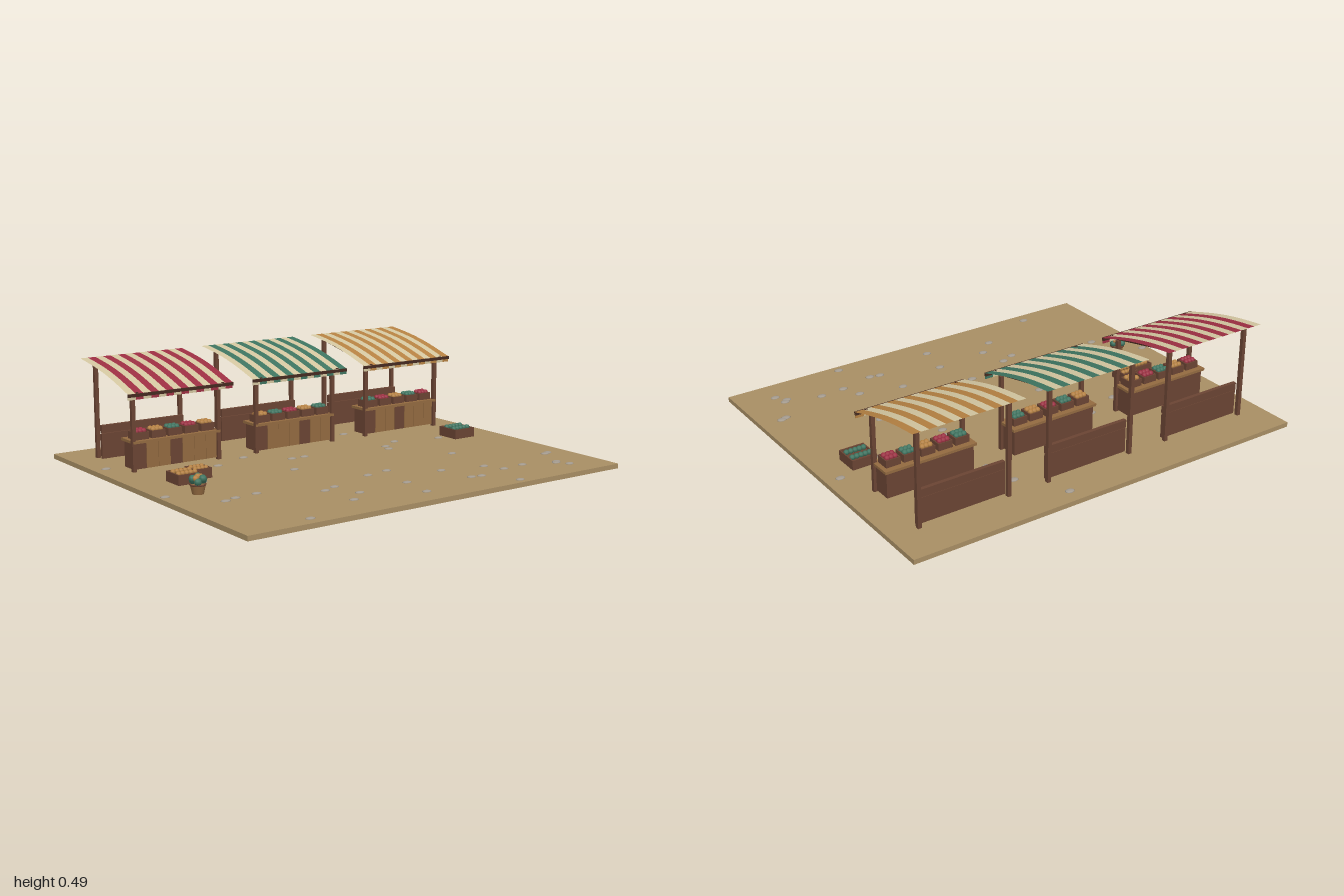
import * as THREE from 'three';

const paint = (name, color, side = THREE.FrontSide) => {
  const m = new THREE.MeshStandardMaterial({ color, side });
  m.name = name;
  return m;
};

export function createModel() {
  const earth = paint('packed earth', 0xa88e64);
  const stone = paint('pale stone', 0xa39a8e);
  const darkWood = paint('dark wood', 0x6a4433);
  const beamWood = paint('beam wood', 0x452a20);
  const midWood = paint('mid wood', 0x936a40);
  const cream = paint('cream', 0xd3c6a0, THREE.DoubleSide);
  const red = paint('red', 0x9c2f42, THREE.DoubleSide);
  const green = paint('green', 0x3e7460, THREE.DoubleSide);
  const ochre = paint('ochre', 0xb58142, THREE.DoubleSide);

  const market = new THREE.Group();
  market.name = 'market';
  const GROUND = 0.022;

  const add = (parent, name, geo, mat, x = 0, y = 0, z = 0) => {
    const m = new THREE.Mesh(geo, mat);
    m.name = name;
    m.position.set(x, y, z);
    parent.add(m);
    return m;
  };
  const box = (parent, name, mat, w, h, d, x, y, z) =>
    add(parent, name, new THREE.BoxGeometry(w, h, d), mat, x, y, z);
  const group = (parent, name, x, y, z) => {
    const g = new THREE.Group();
    g.name = name;
    g.position.set(x, y, z);
    parent.add(g);
    return g;
  };

  // Ground slab
  box(market, 'ground', earth, 2, GROUND, 1.685, 0, GROUND / 2, -0.0025);

  // Scattered cobbles, as x, z pairs
  const cobbleGeo = new THREE.SphereGeometry(1, 8, 6);
  const cobbles = [
    [0.19, -0.77], [0.33, -0.56], [0.36, -0.40], [-0.94, -0.43], [-0.32, -0.26], [-0.50, -0.19],
    [-0.15, -0.11], [-0.08, -0.11], [0.46, -0.12], [0.36, -0.06], [0.34, -0.01], [0.69, -0.06],
    [0.93, -0.13], [-0.26, 0.07], [-0.71, 0.03], [-0.97, 0.16], [0.52, 0.24], [-0.80, 0.36],
    [-0.74, 0.34], [-0.63, 0.33], [-0.06, 0.35], [0.06, 0.33], [-0.37, 0.46], [-0.30, 0.43],
    [0.26, 0.47], [0.47, 0.52], [0.87, 0.50], [0.895, 0.49], [0.0, 0.55], [-0.27, 0.57],
    [-0.36, 0.65], [0.51, 0.61], [0.63, 0.60], [0.29, 0.64], [0.34, 0.65], [0.785, 0.66],
    [0.80, 0.645], [0.82, 0.71], [-0.03, 0.72], [-0.67, 0.78], [0.43, 0.80],
  ];
  for (const [x, z] of cobbles)
    add(market, 'cobble', cobbleGeo, stone, x, GROUND, z).scale.set(0.023, 0.006, 0.017);

  // Crate with rim, filling and a grid of round produce
  const fruitGeo = new THREE.SphereGeometry(1, 8, 6);
  function crate(parent, name, x, y, z, w, h, d, cols, rows, r, mats) {
    const g = group(parent, name, x, y, z), t = 0.006;
    box(g, 'crateBody', darkWood, w - 2 * t, h * 0.8, d - 2 * t, 0, h * 0.4, 0);
    for (const s of [-1, 1]) {
      box(g, 'crateLongSide', darkWood, w, h, t, 0, h / 2, s * (d - t) / 2);
      box(g, 'crateShortSide', darkWood, t, h, d - 2 * t, s * (w - t) / 2, h / 2, 0);
    }
    for (let i = 0; i < cols; i++)
      for (let j = 0; j < rows; j++)
        add(g, 'produce', fruitGeo, mats[(i + j) % mats.length],
          ((i + 0.5) / cols - 0.5) * (w - 0.014), h * 0.8 + r * 0.6,
          ((j + 0.5) / rows - 0.5) * (d - 0.014)).scale.setScalar(r);
  }

  // Awning roof line: straight slope from front to back with a slight bulge
  const FRONT_Z = -0.255, BACK_Z = -0.71, FRONT_Y = 0.385, BACK_Y = 0.485;
  function clothStrip(w) {
    const geo = new THREE.PlaneGeometry(w, 1, 1, 10);
    const p = geo.attributes.position;
    for (let i = 0; i < p.count; i++) {
      const t = p.getY(i) + 0.5;
      p.setY(i, FRONT_Y + (BACK_Y - FRONT_Y) * t + 0.014 * Math.sin(Math.PI * t));
      p.setZ(i, FRONT_Z + (BACK_Z - FRONT_Z) * t);
    }
    geo.computeVertexNormals();
    return geo;
  }

  function stall(x, stripe, darkPlanks, fruitOrder) {
    const g = group(market, 'stall', x, 0, 0);

    // Posts and sloping rafters
    for (const s of [-1, 1]) {
      box(g, 'frontPost', darkWood, 0.018, 0.36, 0.018, s * 0.219, 0.2, -0.306);
      box(g, 'backPost', darkWood, 0.018, 0.448, 0.018, s * 0.219, 0.246, -0.656);
      const rafter = box(g, 'rafter', beamWood, 0.014, 0.012, 0.42, s * 0.219, 0.425, -0.46);
      rafter.rotation.x = Math.atan2(BACK_Y - FRONT_Y, FRONT_Z - BACK_Z);
    }
    box(g, 'backBeam', beamWood, 0.44, 0.014, 0.014, 0, 0.463, -0.656);

    // Striped awning with hanging valance and front bar
    const n = 14, width = 0.535, w = width / n;
    const roofGeo = clothStrip(w);
    for (let i = 0; i < n; i++) {
      const mat = i % 2 ? stripe : cream, sx = (i + 0.5) * w - width / 2;
      add(g, 'awningStripe', roofGeo, mat, sx);
      box(g, 'valanceStripe', mat, w, 0.028, 0.004, sx, 0.372, -0.255);
    }
    box(g, 'awningBar', beamWood, width, 0.014, 0.012, 0, 0.378, -0.253);

    // Counter with plank front and overhanging top
    box(g, 'counterBody', darkWood, 0.43, 0.122, 0.085, 0, 0.09, -0.358);
    const planks = 7, pw = 0.43 / planks;
    for (let i = 0; i < planks; i++)
      box(g, 'counterPlank', darkPlanks.includes(i) ? darkWood : midWood,
        pw - 0.002, 0.118, 0.008, (i + 0.5) * pw - 0.215, 0.09, -0.312);
    box(g, 'counterTop', midWood, 0.45, 0.012, 0.115, 0, 0.155, -0.354);

    // Display crates on the counter
    for (let i = 0; i < 5; i++)
      crate(g, 'displayCrate', (i - 2) * 0.085, 0.161, -0.35, 0.07, 0.034, 0.068,
        3, 2, 0.013, [fruitOrder[i % 3]]);

    // Low back wall of two boards
    box(g, 'backBoard', darkWood, 0.43, 0.118, 0.014, 0, 0.081, -0.627);
    box(g, 'backTopBoard', darkWood, 0.43, 0.036, 0.018, 0, 0.161, -0.627);
  }
  stall(-0.645, red, [0, 3], [red, ochre, green]);
  stall(0, green, [0, 4], [ochre, green, red]);
  stall(0.642, ochre, [0, 3], [green, red, ochre]);

  // Crates standing on the ground
  crate(market, 'groundCrate', -0.773, GROUND, -0.025, 0.115, 0.046, 0.11, 5, 2, 0.012, [ochre]);
  crate(market, 'groundCrate', -0.68, GROUND, -0.06, 0.088, 0.046, 0.088, 4, 2, 0.011, [ochre]);
  crate(market, 'groundCrate', 0.795, GROUND, -0.045, 0.12, 0.046, 0.12, 5, 2, 0.013, [green]);

  // Basket heaped with greens
  const basket = group(market, 'basket', -0.83, GROUND, 0.19);
  add(basket, 'basketBody', new THREE.CylinderGeometry(0.034, 0.025, 0.042, 12), midWood, 0, 0.021, 0);
  add(basket, 'basketRim', new THREE.TorusGeometry(0.033, 0.004, 6, 14), darkWood, 0, 0.041, 0)
    .rotation.x = Math.PI / 2;
  for (let i = 0; i < 6; i++) {
    const a = i * Math.PI / 3;
    add(basket, 'leafyHead', fruitGeo, green, 0.025 * Math.cos(a), 0.056 + (i % 2) * 0.012,
      0.025 * Math.sin(a)).scale.setScalar(0.017);
  }
  for (const [x, y, z] of [[0, 0.074, 0], [-0.018, 0.07, 0.012], [0.018, 0.07, -0.008]])
    add(basket, 'roundFruit', fruitGeo, ochre, x, y, z).scale.setScalar(0.014);

  return market;
}
